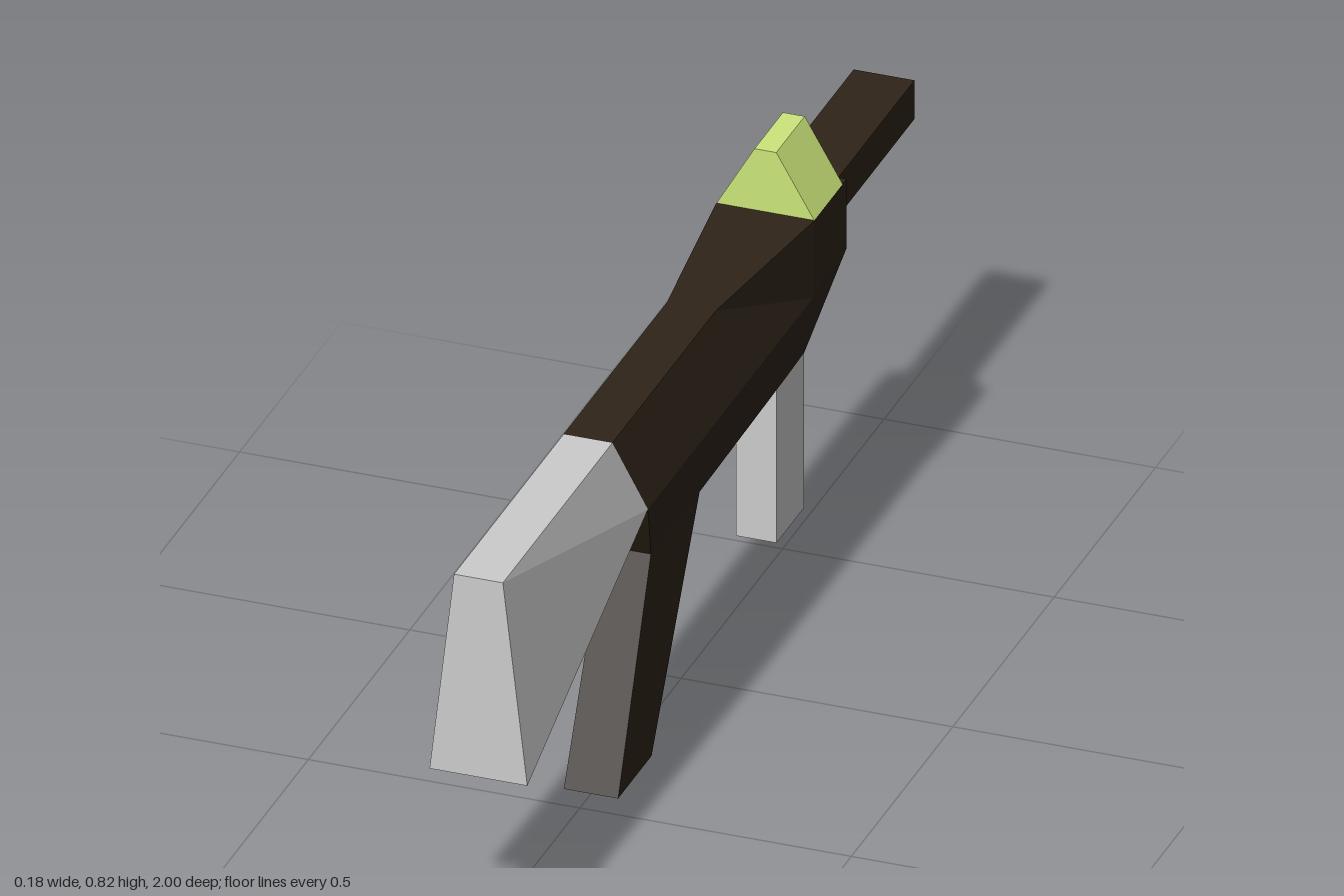
import * as THREE from 'three';

// Symmetric loft from +z to -z. Each section lists [z, y, halfWidth] from top to bottom.
function loft(sections) {
  const rings = sections.map((s) => [
    ...s.map(([z, y, h]) => [h, y, z]),
    ...s.slice().reverse().map(([z, y, h]) => [-h, y, z]),
  ]);
  const n = rings[0].length;
  const last = rings.length - 1;
  const pos = [];
  const tri = (a, b, c) => pos.push(...a, ...b, ...c);
  for (let i = 0; i < last; i++) {
    for (let k = 0; k < n; k++) {
      const a = rings[i][k], b = rings[i][(k + 1) % n];
      const c = rings[i + 1][(k + 1) % n], d = rings[i + 1][k];
      tri(a, b, c);
      tri(a, c, d);
    }
  }
  for (let k = 1; k < n - 1; k++) {
    tri(rings[0][0], rings[0][k + 1], rings[0][k]);
    tri(rings[last][0], rings[last][k], rings[last][k + 1]);
  }
  const g = new THREE.BufferGeometry();
  g.setAttribute('position', new THREE.Float32BufferAttribute(pos, 3));
  g.computeVertexNormals();
  return g;
}

export function createModel() {
  const model = new THREE.Group();
  const material = (color) => new THREE.MeshStandardMaterial({ color, flatShading: true });
  const dark = material(0x2e2418);
  const grey = material(0xcccccc);
  const green = material(0xcce67a);

  const add = (name, geometry, mat) => {
    const mesh = new THREE.Mesh(geometry, mat);
    mesh.name = name;
    model.add(mesh);
    return mesh;
  };

  // Body: six-sided section, top widening towards the muzzle
  add('body', loft([
    [[0.46, 0.705, 0.045], [0.405, 0.555, 0.09], [0.27, 0.39, 0.045]],
    [[-0.05, 0.705, 0.045], [-0.05, 0.555, 0.09], [0.03, 0.39, 0.045]],
    [[-0.41, 0.705, 0.09], [-0.41, 0.555, 0.09], [-0.41, 0.39, 0.04]],
    [[-0.575, 0.705, 0.09], [-0.575, 0.57, 0.09], [-0.505, 0.39, 0.038]],
  ]), dark);

  // Shoulder stock flaring downwards
  add('stock', loft([
    [[1, 0.705, 0.045], [1, 0.315, 0.09]],
    [[0.46, 0.705, 0.045], [0.405, 0.555, 0.09]],
  ]), grey);

  // Slanted hand grip
  add('grip', loft([
    [[0.27, 0.39, 0.045], [0.445, 0, 0.05]],
    [[0.03, 0.39, 0.045], [0.28, 0, 0.05]],
  ]), dark);

  // Sight wedge on top
  add('sight', loft([
    [[-0.415, 0.825, 0.02], [-0.415, 0.705, 0.09]],
    [[-0.555, 0.825, 0.02], [-0.555, 0.705, 0.09]],
  ]), green);

  // Barrel and fore grip
  add('barrel', new THREE.BoxGeometry(0.112, 0.076, 0.44), dark).position.set(0, 0.638, -0.78);
  add('foreGrip', new THREE.BoxGeometry(0.075, 0.32, 0.135), grey).position.set(0, 0.245, -0.437);

  return model;
}
